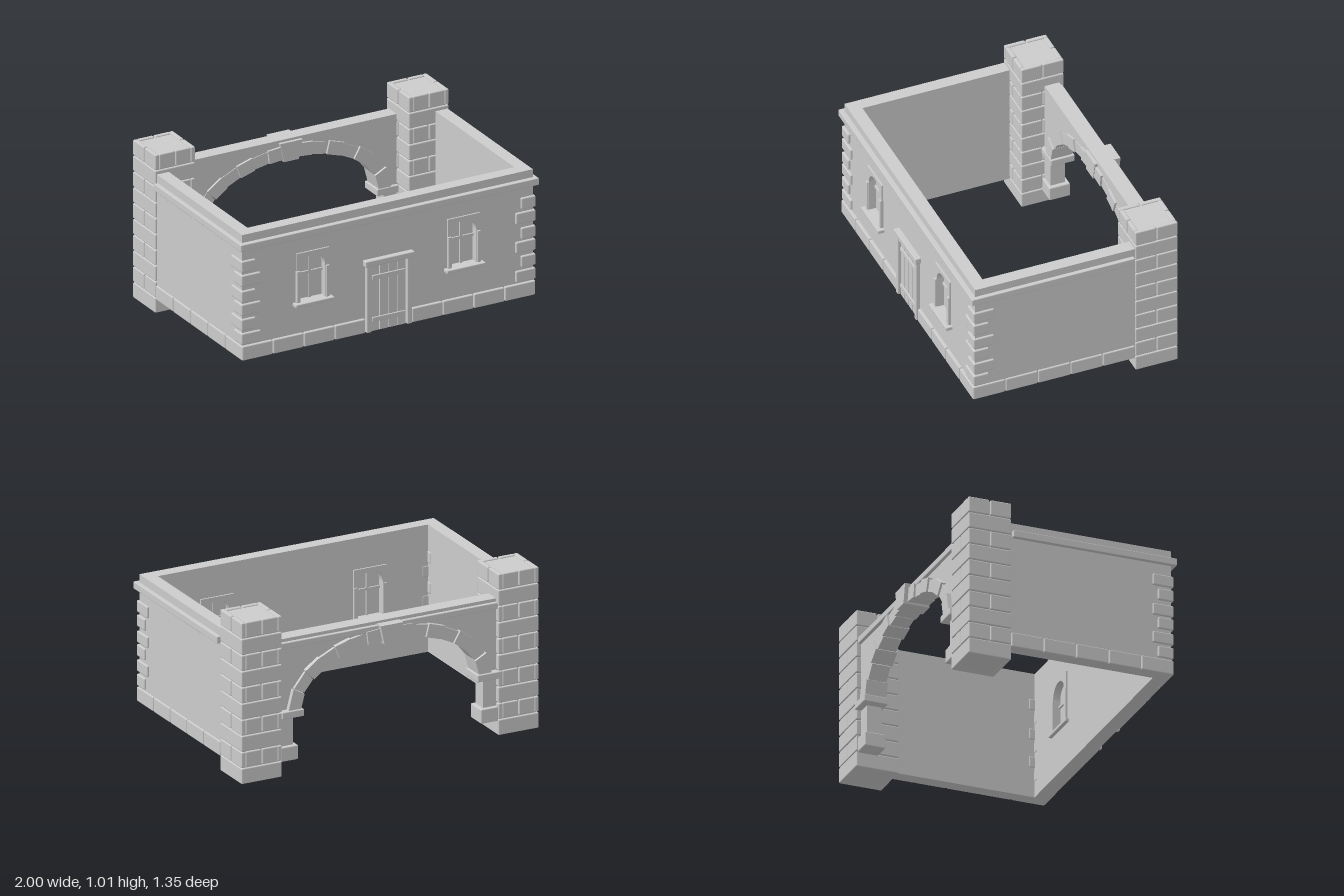
import * as THREE from 'three';
import { RoundedBoxGeometry } from 'three/addons/geometries/RoundedBoxGeometry.js';

export function createModel() {
  const model = new THREE.Group();
  model.name = 'stoneHouse';
  const stone = new THREE.MeshStandardMaterial({ color: 0xcccccc });
  stone.name = 'stone';

  const group = (name) => {
    const g = new THREE.Group();
    g.name = name;
    model.add(g);
    return g;
  };
  const add = (parent, name, geometry) => {
    const mesh = new THREE.Mesh(geometry, stone);
    mesh.name = name;
    parent.add(mesh);
    return mesh;
  };
  // Box given by its two extreme corners; bevel rounds its edges
  const block = (parent, name, x0, x1, y0, y1, z0, z1, bevel = 0) => {
    const w = Math.abs(x1 - x0), h = y1 - y0, d = z1 - z0;
    const geo = bevel ? new RoundedBoxGeometry(w, h, d, 1, bevel) : new THREE.BoxGeometry(w, h, d);
    const mesh = add(parent, name, geo);
    mesh.position.set((x0 + x1) / 2, (y0 + y1) / 2, (z0 + z1) / 2);
    return mesh;
  };
  const extrude = (parent, name, shape, z0, z1) =>
    add(parent, name, new THREE.ExtrudeGeometry(shape, { depth: z1 - z0, bevelEnabled: false, curveSegments: 32 }).translate(0, 0, z0));
  const rect = (Type, x0, x1, y0, y1) =>
    new Type([[x0, y0], [x1, y0], [x1, y1], [x0, y1]].map(([x, y]) => new THREE.Vector2(x, y)));
  const sides = [-1, 1];

  // Front wall with window openings, and side walls
  const walls = group('walls');
  const front = rect(THREE.Shape, -0.975, 0.975, 0.09, 0.885);
  for (const s of sides) front.holes.push(rect(THREE.Path, s * 0.51 - 0.1, s * 0.51 + 0.1, 0.37, 0.68));
  extrude(walls, 'frontWall', front, 0.55, 0.63);
  for (const s of sides) block(walls, 'sideWall', s * 0.895, s * 0.975, 0.09, 0.885, -0.39, 0.55);

  // Cornice band
  const cornice = group('cornice');
  block(cornice, 'frontCornice', -1, 1, 0.79, 0.835, 0.62, 0.66, 0.005);
  for (const s of sides) block(cornice, 'sideCornice', s * 0.96, s * 1, 0.79, 0.835, -0.375, 0.66, 0.005);
  block(cornice, 'backCornice', -0.72, 0.72, 0.79, 0.83, -0.642, -0.6, 0.005);

  // Base course of dressed blocks
  const base = group('baseCourse');
  for (const s of sides) {
    for (let i = 0; i < 4; i++) {
      const x = 0.155 + i * 0.2075;
      block(base, 'frontBaseBlock', s * (x + 0.002), s * (x + 0.205), 0.09, 0.18, 0.56, 0.648, 0.007);
    }
    for (let i = 0; i < 5; i++) {
      const z = -0.383 + i * 0.206;
      block(base, 'sideBaseBlock', s * 0.9, s * 0.985, 0.09, 0.18, z + 0.002, z + 0.204, 0.007);
    }
  }

  // Corner stones, alternately long on the front and on the side
  const quoins = group('cornerStones');
  [0.225, 0.315, 0.41, 0.495, 0.595, 0.685].forEach((y, i) => {
    const longFront = i % 2 === 0;
    for (const s of sides) {
      block(quoins, 'cornerStone', s * (longFront ? 0.855 : 0.89), s * 0.987, y - 0.036, y + 0.036,
        longFront ? 0.547 : 0.513, 0.645, 0.008);
    }
  });

  // Back piers: a core faced with ten courses of bricks
  const piers = group('piers');
  for (const s of sides) {
    const x0 = 0.717, x1 = 0.985, z0 = -0.652, z1 = -0.383, t = 0.028, xm = (x0 + x1) / 2, zm = (z0 + z1) / 2;
    block(piers, 'pierCore', s * (x0 + 0.012), s * (x1 - 0.012), 0.004, 1.0, z0 + 0.012, z1 - 0.012);
    for (let row = 0; row < 10; row++) {
      const y = row * 0.101, a = y + 0.002, b = y + 0.099;
      const brick = (xa, xb, za, zb) => block(piers, 'pierBrick', s * xa, s * xb, a, b, za, zb, 0.007);
      if (row % 2 === 0) {
        for (const [za, zb] of [[z0, z0 + t], [z1 - t, z1]]) brick(x0, x1, za, zb);
        for (const [xa, xb] of [[x0, x0 + t], [x1 - t, x1]]) brick(xa, xb, z0, z1);
      } else {
        for (const [xa, xb] of [[x0, x0 + t], [x1 - t, x1]]) {
          brick(xa, xb, z0, zm - 0.003);
          brick(xa, xb, zm + 0.003, z1);
        }
        for (const [za, zb] of [[z0, z0 + t], [z1 - t, z1]]) {
          brick(x0 + t, xm - 0.003, za, zb);
          brick(xm + 0.003, x1 - t, za, zb);
        }
      }
    }
  }

  // Back wall with its wide arched opening
  const arch = group('archway');
  const back = new THREE.Shape();
  back.moveTo(-0.725, 0.09);
  back.lineTo(-0.63, 0.09);
  back.lineTo(-0.63, 0.4);
  back.absellipse(0, 0.4, 0.63, 0.36, Math.PI, 0, true);
  back.lineTo(0.63, 0.09);
  back.lineTo(0.725, 0.09);
  back.lineTo(0.725, 0.85);
  back.lineTo(-0.725, 0.85);
  extrude(arch, 'backWall', back, -0.622, -0.53);

  // Arch stones, every other one standing proud
  const inner = new THREE.EllipseCurve(0, 0.4, 0.59, 0.33, 0, Math.PI / 2);
  const n = 7;
  const edge = (u, out) => {
    const p = inner.getPointAt(u), t = inner.getTangentAt(u);
    return new THREE.Vector2(p.x + t.y * out, p.y - t.x * out);
  };
  for (const s of sides) {
    for (let i = 0; i < n; i++) {
      const u0 = (i / n) * 0.94 + 0.002, u1 = ((i + 1) / n) * 0.94 - 0.002;
      const proud = i % 2 === 0 ? 0.01 : 0, out = 0.075 + proud * 0.8;
      const pts = [edge(u0, 0), edge(u0, out), edge(u1, out), edge(u1, 0)];
      for (const p of pts) p.x *= s;
      extrude(arch, 'archStone', new THREE.Shape(pts), -0.64 - proud, -0.525 + proud);
    }
    block(arch, 'impostBlock', s * 0.575, s * 0.72, 0.36, 0.405, -0.662, -0.51, 0.006);
    block(arch, 'jambBaseBlock', s * 0.605, s * 0.72, 0.09, 0.18, -0.645, -0.513, 0.007);
  }
  const key = new THREE.Shape([[-0.05, 0.715], [0.05, 0.715], [0.075, 0.835], [-0.075, 0.835]]
    .map(([x, y]) => new THREE.Vector2(x, y)));
  extrude(arch, 'keystone', key, -0.675, -0.51);

  // Arched windows, finished on both faces of the wall
  for (const s of sides) {
    const win = group('window');
    win.position.x = s * 0.507;
    const panel = rect(THREE.Shape, -0.109, 0.109, 0.36, 0.69);
    const hole = new THREE.Path();
    hole.moveTo(-0.083, 0.38);
    hole.lineTo(0.083, 0.38);
    hole.lineTo(0.083, 0.583);
    hole.absarc(0, 0.583, 0.083, 0, Math.PI, false);
    hole.lineTo(-0.083, 0.38);
    panel.holes.push(hole);
    extrude(win, 'windowSurround', panel, 0.54, 0.64);
    block(win, 'pane', -0.095, 0.095, 0.37, 0.675, 0.585, 0.595);
    block(win, 'mullion', -0.008, 0.008, 0.38, 0.666, 0.575, 0.605);
    block(win, 'transom', -0.083, 0.083, 0.535, 0.551, 0.575, 0.605);
    block(win, 'sill', -0.13, 0.13, 0.357, 0.38, 0.528, 0.672, 0.005);
    for (const t of sides) block(win, 'windowJamb', t * 0.086, t * 0.11, 0.38, 0.58, 0.535, 0.65, 0.004);
  }

  // Plank door with frame and two rails
  const door = group('door');
  for (const s of sides) block(door, 'doorJamb', s * 0.12, s * 0.152, 0.09, 0.515, 0.6, 0.655, 0.005);
  block(door, 'lintel', -0.165, 0.165, 0.512, 0.55, 0.6, 0.665, 0.006);
  for (let i = 0; i < 4; i++) {
    const x = -0.12 + i * 0.06;
    block(door, 'doorPlank', x + 0.003, x + 0.057, 0.09, 0.512, 0.61, 0.638);
  }
  for (const y of [0.15, 0.417]) block(door, 'doorRail', -0.11, 0.11, y, y + 0.028, 0.62, 0.646, 0.003);

  return model;
}
